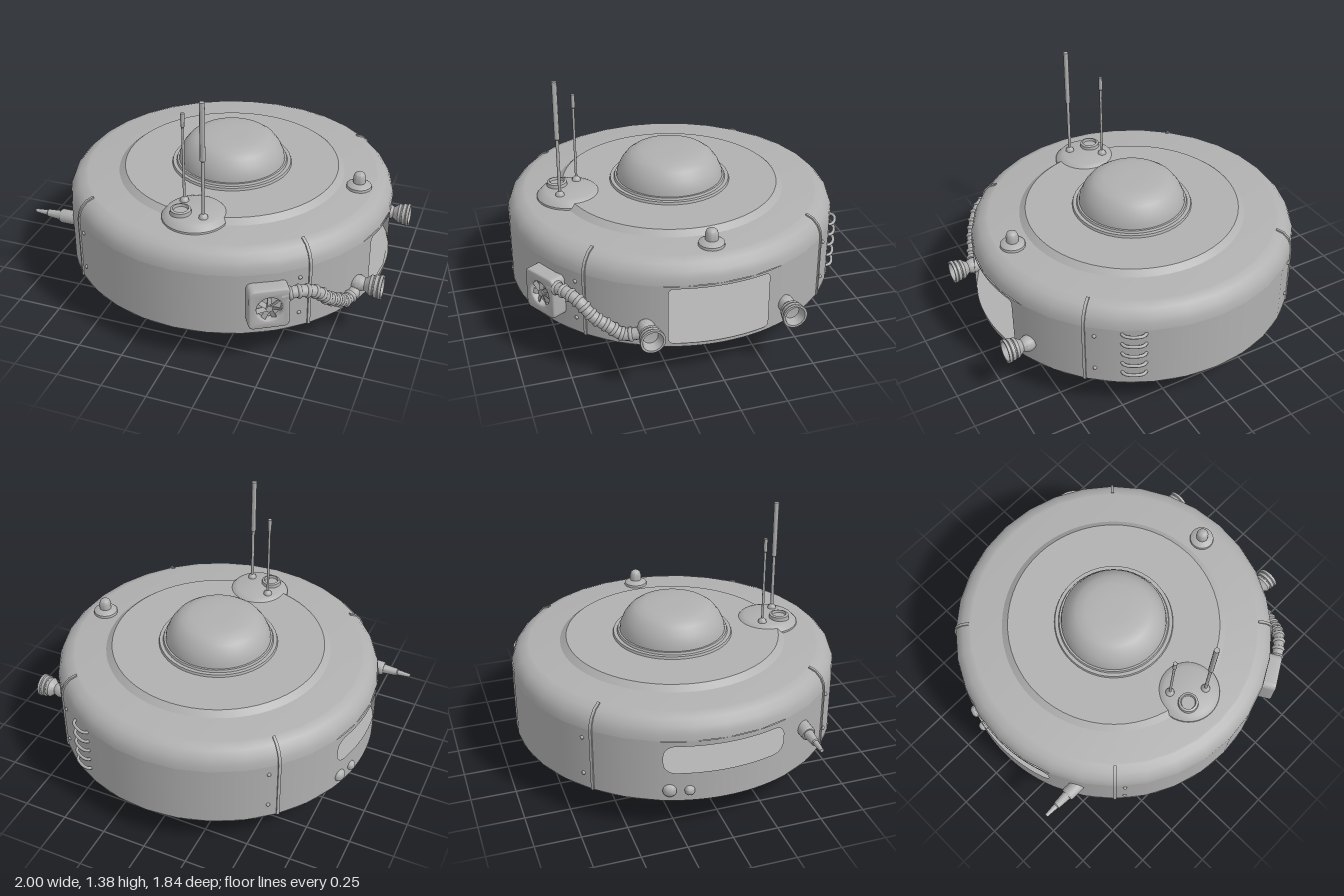
import * as THREE from 'three';
import { toCreasedNormals } from 'three/addons/utils/BufferGeometryUtils.js';

const grey = new THREE.MeshStandardMaterial({ color: 0xb0b0b0, side: THREE.DoubleSide });
grey.name = 'grey';

const R = 0.92, WALL_BOTTOM = 0.2, WALL_TOP = 0.56;

function add(parent, name, geometry, x = 0, y = 0, z = 0) {
  const mesh = new THREE.Mesh(geometry, grey);
  mesh.name = name;
  mesh.position.set(x, y, z);
  parent.add(mesh);
  return mesh;
}

// Turned part from [radius, height] pairs, listed upwards along the outside
function turned(points, segments = 24) {
  const profile = points.map(([r, y]) => new THREE.Vector2(r, y));
  return toCreasedNormals(new THREE.LatheGeometry(profile, segments), 0.6);
}

// Group standing on the wall at an angle from the front, its +z pointing outwards
function station(parent, name, angle, radius, y) {
  const g = new THREE.Group();
  g.name = name;
  g.position.set(Math.sin(angle) * radius, y, Math.cos(angle) * radius);
  g.rotation.y = angle;
  parent.add(g);
  return g;
}

// Cylindrical wall with rounded openings cut through it
function wallGeometry() {
  const openings = [
    { at: Math.PI / 2, half: 0.27, low: 0.22, high: 0.545, round: 0.025 },
    { at: Math.PI * 1.5, half: 0.33, low: 0.37, high: 0.53, round: 0.06 },
  ];
  for (const o of openings) o.span = Math.asin(o.half / R);
  const openingAt = a => openings.find(o => Math.abs(a - o.at) < o.span);
  const angles = [];
  for (let i = 0; i <= 32; i++) {
    const a = i / 32 * Math.PI * 2;
    if (!openingAt(a)) angles.push(a);
  }
  for (const o of openings)
    for (let i = 0; i <= 48; i++) angles.push(o.at - o.span * Math.cos(i / 48 * Math.PI));
  angles.sort((a, b) => a - b);

  const edge = (o, a) => {
    const d = Math.max(0, Math.abs(R * Math.sin(a - o.at)) - (o.half - o.round));
    const inset = o.round - Math.sqrt(Math.max(0, o.round ** 2 - d ** 2));
    return [o.low + inset, o.high - inset];
  };
  const pos = [], nor = [];
  const band = (a, b, a0, a1, b0, b1) => {
    for (const [t, y] of [[a, a0], [b, b0], [b, b1], [a, a0], [b, b1], [a, a1]]) {
      pos.push(Math.sin(t) * R, y, Math.cos(t) * R);
      nor.push(Math.sin(t), 0, Math.cos(t));
    }
  };
  for (let i = 0; i + 1 < angles.length; i++) {
    const a = angles[i], b = angles[i + 1], o = openingAt((a + b) / 2);
    if (!o) { band(a, b, WALL_BOTTOM, WALL_TOP, WALL_BOTTOM, WALL_TOP); continue; }
    const [al, ah] = edge(o, a), [bl, bh] = edge(o, b);
    band(a, b, WALL_BOTTOM, al, WALL_BOTTOM, bl);
    band(a, b, ah, WALL_TOP, bh, WALL_TOP);
  }
  const g = new THREE.BufferGeometry();
  g.setAttribute('position', new THREE.Float32BufferAttribute(pos, 3));
  g.setAttribute('normal', new THREE.Float32BufferAttribute(nor, 3));
  return g;
}

function addHull(hull) {
  add(hull, 'wall', wallGeometry());
  add(hull, 'roof', turned([[R, WALL_TOP], [0.915, 0.595], [0.9, 0.63], [0.87, 0.662], [0.83, 0.678], [0.82, 0.68], [0, 0.68]], 32));
  add(hull, 'raisedDeck', turned([[0.64, 0.68], [0.605, 0.708], [0, 0.708]], 64));
  add(hull, 'domeRing', turned([[0.34, 0.705], [0.335, 0.722], [0.315, 0.722], [0.31, 0.735], [0.29, 0.735]], 48));
  add(hull, 'dome', turned([[0.3, 0.73], [0.295, 0.765], [0.275, 0.81], [0.245, 0.85], [0.21, 0.875], [0.16, 0.887], [0.08, 0.89], [0, 0.89]], 48));
  add(hull, 'floor', new THREE.CircleGeometry(0.91, 32).rotateX(-Math.PI / 2), 0, 0.205, 0);

  // Underside: central pit, lower disc, recessed panel band and rounded skirt
  add(hull, 'underside', turned([[0, 0.17], [0.24, 0.17], [0.24, 0.125], [0.29, 0.115], [0.32, 0.076], [0.45, 0.076],
    [0.5, 0.088], [0.535, 0.115], [0.54, 0.145], [0.73, 0.145], [0.735, 0.127], [0.79, 0.13], [0.835, 0.145],
    [0.865, 0.17], [0.88, 0.2], [R, 0.2]], 48));
  for (let i = 0; i < 20; i++) {
    const rib = station(hull, 'undersideRib', i / 20 * Math.PI * 2, 0.635, 0.135);
    add(rib, 'rib', new THREE.BoxGeometry(0.014, 0.022, 0.2));
  }

  // Seam strips over the shoulder, with rivets on the front and back panels
  const strip = new THREE.Shape([[0.927, 0.2], [0.927, 0.56], [0.921, 0.6], [0.905, 0.636], [0.873, 0.669], [0.83, 0.686],
    [0.83, 0.66], [0.86, 0.645], [0.89, 0.61], [0.9, 0.56], [0.9, 0.2]].map(p => new THREE.Vector2(...p)));
  const stripGeo = toCreasedNormals(new THREE.ExtrudeGeometry(strip, { depth: 0.016, bevelEnabled: false }).translate(0, 0, -0.008), 0.6);
  for (let i = 0; i < 4; i++) {
    add(hull, 'seamStrip', stripGeo).rotation.y = Math.PI / 4 + i * Math.PI / 2;
    const angle = (i < 2 ? 0 : Math.PI) + (i % 2 ? 1 : -1) * 0.725;
    for (const y of [0.285, 0.505]) {
      const rivet = station(hull, 'rivet', angle, R - 0.003, y);
      add(rivet, 'rivetHead', new THREE.SphereGeometry(0.011, 10, 6));
    }
  }
}

function addRoofEquipment(hull) {
  add(hull, 'beacon', turned([[0.07, 0.678], [0.068, 0.695], [0.045, 0.71], [0.034, 0.712], [0.034, 0.745], [0.028, 0.763], [0.015, 0.773], [0, 0.775]]), 0.74);
  add(hull, 'antennaPod', turned([[0.18, 0.675], [0.178, 0.69], [0.155, 0.715], [0.13, 0.724], [0, 0.727]], 40), 0, 0, 0.58);
  add(hull, 'podPort', turned([[0.058, 0.72], [0.055, 0.745], [0.042, 0.75], [0.038, 0.735], [0, 0.735]]), -0.06, 0, 0.635);
  const antennas = [[-0.085, 0.52, 0.007, 1.16, 0.011, 1.24], [0.07, 0.645, 0.009, 1.055, 0.0145, 1.385]];
  for (const [x, z, r, joint, tipR, top] of antennas)
    add(hull, 'antenna', turned([[0.026, 0.722], [0.022, 0.737], [r, 0.75], [r, joint], [tipR, joint + 0.005], [tipR, top], [0, top]], 12), x, 0, z);
}

function addWallEquipment(hull) {
  // Ball-jointed nozzles on the window side
  const nozzle = turned([[0, -0.05], [0.03, -0.04], [0.045, -0.01], [0.045, 0.01], [0.034, 0.035], [0.04, 0.045], [0.057, 0.065],
    [0.057, 0.08], [0.053, 0.083], [0.053, 0.088], [0.062, 0.09], [0.062, 0.108], [0.058, 0.111], [0.066, 0.115], [0.066, 0.13],
    [0.054, 0.13], [0.04, 0.08], [0, 0.075]], 28);
  for (const z of [-0.38, 0.38]) add(hull, 'sideNozzle', nozzle, 0.85, 0.32, z).rotation.z = -Math.PI / 2;

  // Pointed probe
  const probe = turned([[0, 0], [0.04, 0], [0.04, 0.11], [0.034, 0.12], [0.027, 0.12], [0.021, 0.2], [0.016, 0.205], [0.01, 0.28], [0, 0.28]], 20);
  add(hull, 'probe', probe, -0.74, 0.44, 0.475).rotation.z = Math.PI / 2;

  // Two small lamps under the slot
  for (const [z, r] of [[-0.3, 0.036], [-0.2, 0.027]]) {
    const lamp = station(hull, 'lamp', Math.atan2(-Math.sqrt(R * R - z * z), z), R, 0.265);
    add(lamp, 'lampBody', turned([[r, -0.03], [r, 0.008], [r * 0.85, 0.016], [r * 0.5, 0.024], [0, 0.026]], 20)).rotation.x = Math.PI / 2;
  }

  // Louvres
  for (let i = 0; i < 5; i++) {
    const louvre = station(hull, 'louvre', Math.PI - 0.5, 0.9, 0.275 + i * 0.066);
    const path = new THREE.CatmullRomCurve3([[-0.066, 0], [-0.058, 0.025], [-0.035, 0.04], [0.035, 0.04], [0.058, 0.025], [0.066, 0]]
      .map(([x, z]) => new THREE.Vector3(x, 0, z)));
    add(louvre, 'louvreBar', new THREE.TubeGeometry(path, 20, 0.009, 8));
  }

  // Fan box
  const fan = station(hull, 'fanUnit', 0.53, 0.88, 0.395);
  const face = new THREE.Shape(), w = 0.098, h = 0.108, c = 0.02;
  face.moveTo(-w + c, -h);
  for (const [cx, cy, start] of [[w - c, -h + c, -0.5], [w - c, h - c, 0], [-w + c, h - c, 0.5], [-w + c, -h + c, 1]])
    face.absarc(cx, cy, c, start * Math.PI, (start + 0.5) * Math.PI, false);
  face.holes.push(new THREE.Path().absarc(0, 0, 0.078, 0, Math.PI * 2, true));
  add(fan, 'fanBox', toCreasedNormals(new THREE.ExtrudeGeometry(face, { depth: 0.1, bevelThickness: 0.012, bevelSize: 0.01, bevelSegments: 3, curveSegments: 10 }), 0.6));
  add(fan, 'fanBack', new THREE.CircleGeometry(0.08, 32), 0, 0, 0.075);
  add(fan, 'fanHub', new THREE.CylinderGeometry(0.018, 0.02, 0.03, 16).rotateX(Math.PI / 2), 0, 0, 0.092);
  for (let i = 0; i < 7; i++) {
    const blade = new THREE.BoxGeometry(0.026, 0.055, 0.005).rotateY(0.5).translate(0, 0.042, 0.095).rotateZ(i / 7 * Math.PI * 2);
    add(fan, 'fanBlade', blade);
  }

  // Corrugated hose from the fan box to the front nozzle
  const path = new THREE.CatmullRomCurve3([[0.54, 0.46, 0.80], [0.635, 0.465, 0.74], [0.695, 0.44, 0.69], [0.745, 0.37, 0.63],
    [0.78, 0.32, 0.56], [0.81, 0.275, 0.49], [0.84, 0.285, 0.41]].map(p => new THREE.Vector3(...p)));
  add(hull, 'hose', new THREE.TubeGeometry(path, 48, 0.032, 14));
  for (let i = 1; i < 12; i++) {
    const ring = add(hull, 'hoseRing', new THREE.TorusGeometry(0.027, 0.012, 8, 18));
    ring.position.copy(path.getPointAt(i / 12));
    ring.lookAt(ring.position.clone().add(path.getTangentAt(i / 12)));
  }
}

function addUndersideEquipment(hull) {
  // Three outward-tilted thrusters
  const thruster = turned([[0.034, -0.02], [0.034, 0.04], [0.043, 0.044], [0.043, 0.07], [0.037, 0.074], [0.037, 0.108], [0.028, 0.108], [0.026, 0.085], [0, 0.085]], 20);
  for (let i = 0; i < 3; i++) {
    const mount = station(hull, 'thruster', Math.PI / 2 + i * Math.PI * 2 / 3, 0.46, 0.12);
    add(mount, 'thrusterBody', thruster).rotation.x = Math.PI - 0.55;
  }
  // Central sensor with prongs
  add(hull, 'sensor', turned([[0, 0.04], [0.085, 0.04], [0.1, 0.018], [0.115, 0.018], [0.118, 0.036], [0.11, 0.04], [0.113, 0.046],
    [0.128, 0.048], [0.13, 0.066], [0.1, 0.075], [0.1, 0.17]], 32));
  for (let i = 0; i < 5; i++) {
    const prong = station(hull, 'prong', i / 5 * Math.PI * 2, 0.025, 0.022);
    add(prong, 'prongBlade', new THREE.BoxGeometry(0.01, 0.036, 0.045));
  }
  add(hull, 'sensorTip', new THREE.CylinderGeometry(0.012, 0.012, 0.045, 12), 0, 0.0225, 0);
}

export function createModel() {
  const model = new THREE.Group();
  model.name = 'saucer';
  const hull = new THREE.Group();
  hull.name = 'hull';
  hull.position.x = 0.02;
  model.add(hull);
  addHull(hull);
  addRoofEquipment(hull);
  addWallEquipment(hull);
  addUndersideEquipment(hull);
  return model;
}
